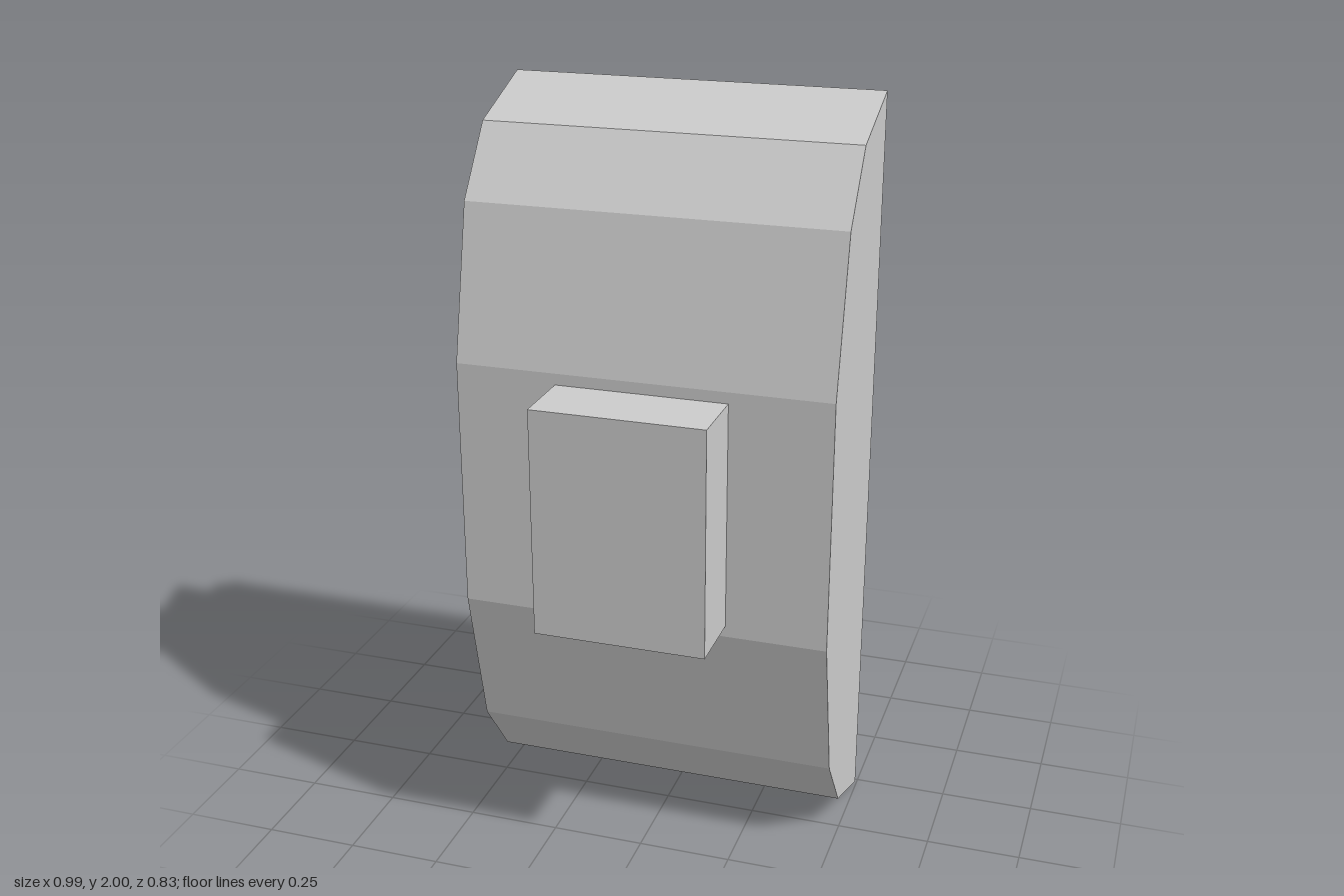
import * as THREE from 'three';

const MID = 1; // height of the horizontal mirror line

// Extrude a side profile across x. Points are [z, half height], mirrored about MID.
function profileSlab(name, points, width, material) {
  const upper = points.map(([z, h]) => new THREE.Vector2(z, MID + h));
  const lower = points.map(([z, h]) => new THREE.Vector2(z, MID - h)).reverse();
  const shape = new THREE.Shape([...upper, ...lower]);
  const geometry = new THREE.ExtrudeGeometry(shape, { depth: width, bevelEnabled: false });
  geometry.translate(0, 0, -width / 2);
  geometry.rotateY(-Math.PI / 2); // profile x becomes z
  const mesh = new THREE.Mesh(geometry, material);
  mesh.name = name;
  return mesh;
}

export function createModel() {
  const group = new THREE.Group();
  group.name = 'facetedPanel';
  const material = new THREE.MeshStandardMaterial({ color: 0xcccccc, flatShading: true });

  // Main body with a faceted, bulging front
  group.add(profileSlab('body',
    [[-0.24, 1], [0, 0.912], [0.135, 0.735], [0.227, 0.335]], 0.99, material));

  // Narrower plate on the back with chamfered ends
  group.add(profileSlab('backPlate',
    [[-0.24, 0.9], [-0.322, 0.9], [-0.375, 0.828], [-0.413, 0.645]], 0.895, material));

  // Block standing out from the front
  const block = new THREE.Mesh(new THREE.BoxGeometry(0.454, 0.61, 0.187), material);
  block.name = 'frontBlock';
  block.position.set(0, MID, 0.3195);
  group.add(block);

  return group;
}
